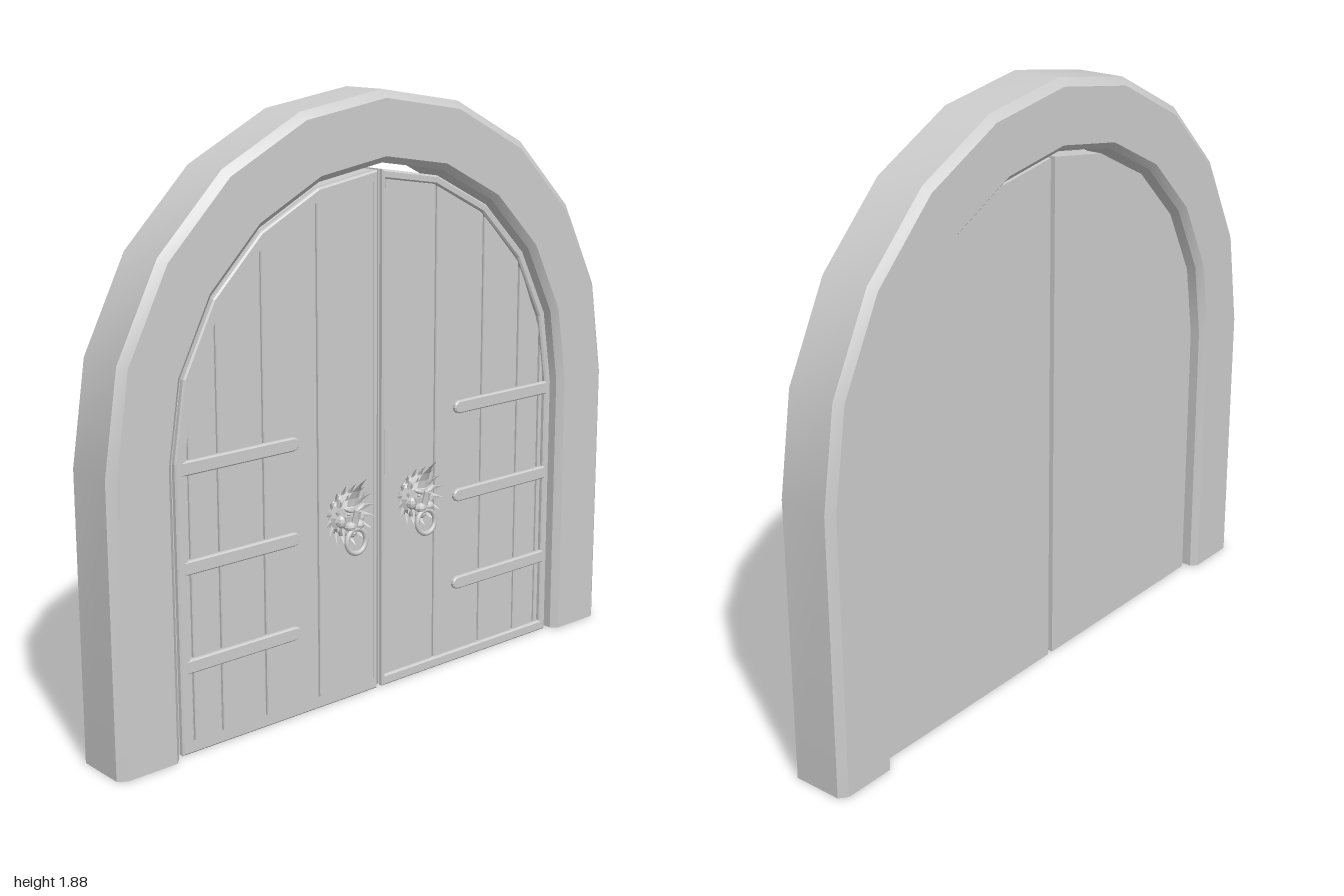
import * as THREE from 'three';
import { toCreasedNormals } from 'three/addons/utils/BufferGeometryUtils.js';

const SPRING = 0.885;            // height where the arch begins to curve
const STEP = Math.PI / 10;       // ten straight segments over the half circle
const grey = new THREE.MeshStandardMaterial({ color: 0xcccccc });
const facet = new THREE.MeshStandardMaterial({ color: 0xcccccc, flatShading: true });

function add(parent, name, geometry, material = grey) {
  const mesh = new THREE.Mesh(geometry, material);
  mesh.name = name;
  parent.add(mesh);
  return mesh;
}

// Chamfered section swept up one jamb, round the arch and down the other
function archGeometry() {
  const section = [[1, -0.12], [1, 0.04], [0.975, 0.06], [0.805, 0.06],
    [0.785, 0.04], [0.785, -0.12], [0.805, -0.14], [0.975, -0.14]];
  const stations = [[0, 0]];
  for (let i = 0; i <= 10; i++) stations.push([i * STEP, SPRING]);
  stations.push([Math.PI, 0]);
  const pos = [], idx = [], n = section.length, last = (stations.length - 1) * n;
  for (const [a, y] of stations)
    for (const [r, z] of section) pos.push(r * Math.cos(a), y + r * Math.sin(a), z);
  for (let i = 0; i < stations.length - 1; i++)
    for (let k = 0; k < n; k++) {
      const a = i * n + k, b = i * n + (k + 1) % n;
      idx.push(a, a + n, b, b, a + n, b + n);
    }
  for (let k = 1; k < n - 1; k++) {
    idx.push(0, k, k + 1);
    idx.push(last, last + k + 1, last + k);
  }
  const g = new THREE.BufferGeometry();
  g.setAttribute('position', new THREE.Float32BufferAttribute(pos, 3));
  g.setIndex(idx);
  return toCreasedNormals(g, 0.45);
}

// Height of the faceted arch of radius r above a given x
function archY(x, r) {
  for (let i = 0; i < 5; i++) {
    const x0 = r * Math.cos(i * STEP), x1 = r * Math.cos((i + 1) * STEP);
    if (x <= x0 && x >= x1 - 1e-6) {
      const y0 = r * Math.sin(i * STEP), y1 = r * Math.sin((i + 1) * STEP);
      return SPRING + y0 + (y1 - y0) * (x0 - x) / (x0 - x1);
    }
  }
  return SPRING;
}

// Outline of one door leaf on side s (+1 or -1)
function leafOutline(s, x0, y0, r) {
  const p = [[x0, y0], [r, y0]];
  for (let i = 0; i < 5; i++) p.push([r * Math.cos(i * STEP), SPRING + r * Math.sin(i * STEP)]);
  p.push([x0, archY(x0, r)]);
  return p.map(([x, y]) => new THREE.Vector2(s * x, y));
}

function extrude(shape, z0, z1, bevel = 0) {
  const g = new THREE.ExtrudeGeometry(shape, {
    depth: z1 - z0 - bevel * 2, bevelEnabled: bevel > 0, bevelSize: bevel,
    bevelThickness: bevel, bevelOffset: -bevel, bevelSegments: 1, curveSegments: 6,
  });
  return g.translate(0, 0, z0 + bevel);
}

function doorLeaf(s) {
  const door = new THREE.Group();
  door.name = s > 0 ? 'leftDoor' : 'rightDoor';
  add(door, 'doorSlab', extrude(new THREE.Shape(leafOutline(s, 0.01, 0, 0.765)), -0.1, 0.012));

  // Raised border
  const border = new THREE.Shape(leafOutline(s, 0.01, 0, 0.765));
  border.holes.push(new THREE.Path(leafOutline(s, 0.023, 0.035, 0.738)));
  add(door, 'doorBorder', extrude(border, 0.012, 0.034, 0.005));

  // Vertical planks with narrow grooves
  const edges = [0.02, 0.24, 0.447, 0.612, 0.715, 0.738];
  for (let i = 0; i < edges.length - 1; i++) {
    const a = edges[i] + 0.003, b = edges[i + 1] - 0.003;
    const plank = new THREE.Shape([[a, 0.03], [b, 0.03], [b, archY(b, 0.742)], [a, archY(a, 0.742)]]
      .map(([x, y]) => new THREE.Vector2(s * x, y)));
    add(door, 'plank', extrude(plank, 0.01, 0.024, 0.003));
  }

  // Hinge straps with rounded ends
  for (const y of [0.27, 0.57, 0.865]) {
    const h = 0.021, pts = [[0.745, y - h], [0.745, y + h]];
    for (let i = 0; i <= 6; i++) {
      const a = Math.PI * (0.5 + i / 6);
      pts.push([0.34 + h * Math.cos(a), y + h * Math.sin(a)]);
    }
    const strap = new THREE.Shape(pts.map(([x, v]) => new THREE.Vector2(s * x, v)));
    add(door, 'hingeStrap', extrude(strap, 0.015, 0.036, 0.004));
  }

  const knocker = lionKnocker();
  knocker.position.set(s * 0.145, 0.61, 0.024);
  door.add(knocker);
  return door;
}

// Flattened four-sided tuft pointing up from the origin, curling forward
function tuft(length, width, curl) {
  const g = new THREE.ConeGeometry(width, length, 4, 4).translate(0, length / 2, 0).scale(1, 1, 0.35);
  const p = g.attributes.position;
  for (let i = 0; i < p.count; i++) {
    const t = p.getY(i) / length;
    p.setZ(i, p.getZ(i) + curl * t * t);
    p.setX(i, p.getX(i) * (1 + 1.2 * t * (1 - t)));
  }
  return g;
}

function ball(parent, name, x, y, z, sx, sy, sz) {
  const m = add(parent, name, new THREE.SphereGeometry(1, 8, 6), facet);
  m.position.set(x, y, z);
  m.scale.set(sx, sy, sz);
  return m;
}

function lionKnocker() {
  const k = new THREE.Group();
  k.name = 'lionKnocker';

  // Two rings of mane tufts
  for (const [count, start, len, width, z, curl] of [[16, 0.045, 0.055, 0.014, 0.012, 0.028],
    [13, 0.03, 0.045, 0.013, 0.03, 0.018]]) {
    for (let i = 0; i < count; i++) {
      const a = (i + 0.5) / count * Math.PI * 2;
      const m = add(k, 'maneTuft', tuft(len, width, curl), facet);
      m.position.set(-Math.sin(a) * start, Math.cos(a) * start, z);
      m.rotation.z = a;
    }
  }
  // Tall crest leaning forward
  const crest = add(k, 'crest', tuft(0.1, 0.024, 0.065), facet);
  crest.position.set(0, 0.035, 0.048);

  // Face
  ball(k, 'manePad', 0, 0, 0.01, 0.068, 0.072, 0.03);
  ball(k, 'head', 0, 0.005, 0.032, 0.045, 0.052, 0.028);
  const nose = add(k, 'nose', new THREE.CylinderGeometry(0.008, 0.016, 0.05, 5), facet);
  nose.position.set(0, 0.002, 0.06);
  nose.rotation.x = 0.25;
  ball(k, 'chin', 0, -0.052, 0.038, 0.02, 0.016, 0.02);
  for (const s of [-1, 1]) {
    ball(k, 'muzzle', s * 0.016, -0.026, 0.055, 0.021, 0.015, 0.018);
    ball(k, 'cheek', s * 0.036, -0.012, 0.034, 0.017, 0.022, 0.018);
    ball(k, 'eye', s * 0.021, 0.014, 0.054, 0.008, 0.006, 0.007);
    const brow = ball(k, 'brow', s * 0.022, 0.026, 0.055, 0.021, 0.007, 0.01);
    brow.rotation.z = s * 0.45;
    const ear = add(k, 'ear', tuft(0.035, 0.013, 0.01), facet);
    ear.position.set(s * 0.038, 0.038, 0.032);
    ear.rotation.z = -s * 0.55;
  }

  // Ring hanging from the mouth
  const ring = add(k, 'knockerRing', new THREE.TorusGeometry(0.038, 0.008, 8, 20));
  ring.position.set(0, -0.074, 0.064);
  ring.rotation.x = -0.08;
  return k;
}

export function createModel() {
  const model = new THREE.Group();
  model.name = 'archedGate';
  add(model, 'stoneArch', archGeometry());
  for (const s of [1, -1]) model.add(doorLeaf(s));
  return model;
}
